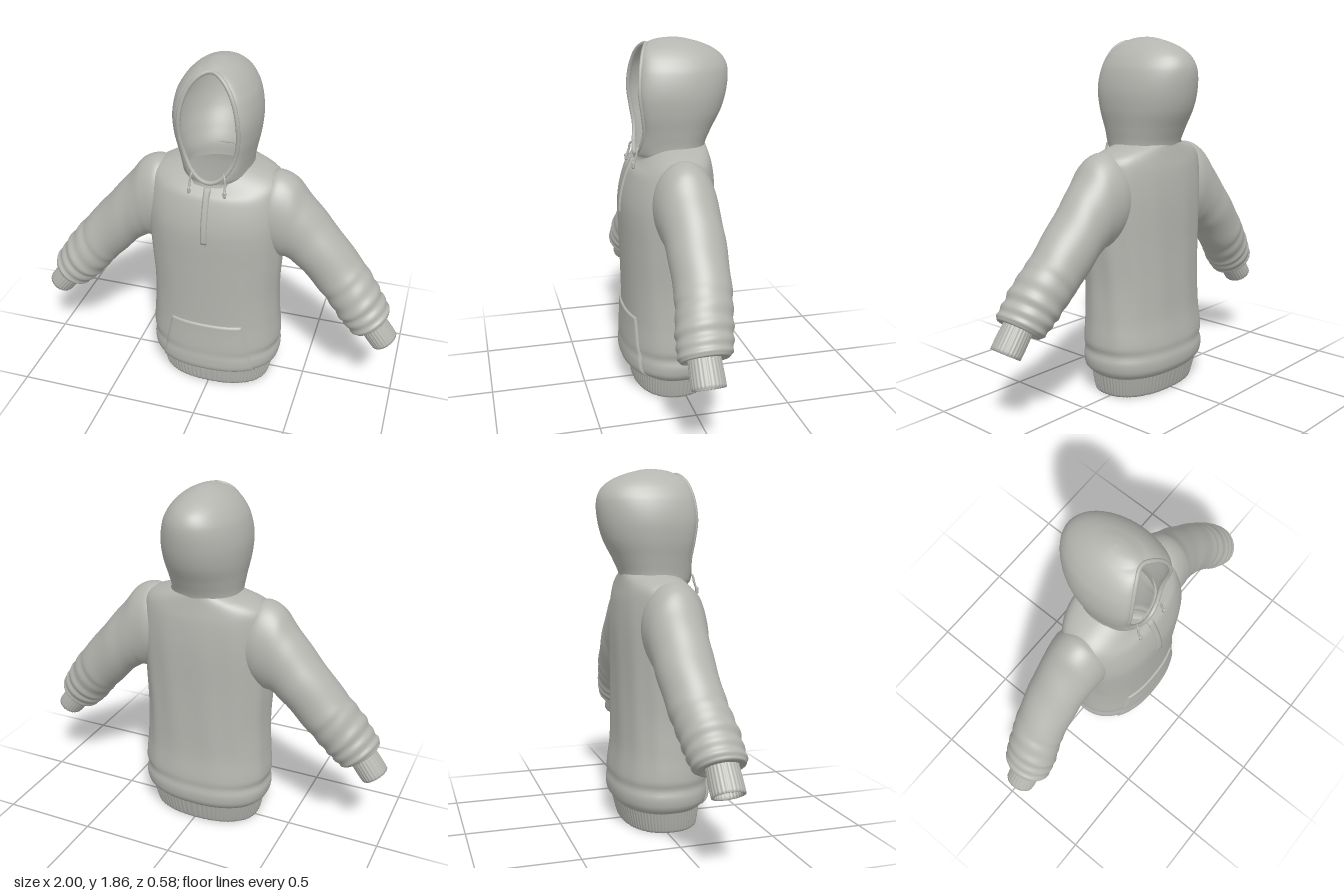
import * as THREE from 'three';

const fabric = new THREE.MeshStandardMaterial({ color: 0xb5b5b0, side: THREE.DoubleSide });
fabric.name = 'grey fabric';

// Smooth interpolation of rows [key, ...values] at key k
function at(rows, k) {
  const last = rows.length - 1;
  k = THREE.MathUtils.clamp(k, rows[0][0], rows[last][0]);
  let i = 0;
  while (i < last - 1 && k > rows[i + 1][0]) i++;
  const a = rows[i], b = rows[i + 1], h = b[0] - a[0], t = (k - a[0]) / h;
  const slope = (n, c) => {
    const p = rows[Math.max(n - 1, 0)], q = rows[Math.min(n + 1, last)];
    return (q[c] - p[c]) / (q[0] - p[0]);
  };
  return a.slice(1).map((v, j) => {
    const c = j + 1, t2 = t * t, t3 = t2 * t;
    return v * (2 * t3 - 3 * t2 + 1) + b[c] * (3 * t2 - 2 * t3)
      + h * slope(i, c) * (t3 - 2 * t2 + t) + h * slope(i + 1, c) * (t3 - t2);
  });
}

// Surface through a grid of points; closed joins the last column to the first
function loft(name, nu, nv, point, closed = true) {
  const pos = [], idx = [], cols = closed ? nu : nu + 1;
  for (let i = 0; i <= nv; i++)
    for (let j = 0; j < cols; j++) pos.push(...point(j / nu, i / nv));
  for (let i = 0; i < nv; i++)
    for (let j = 0; j < nu; j++) {
      const k = (j + 1) % cols;
      const a = i * cols + j, b = i * cols + k, c = b + cols, d = a + cols;
      idx.push(a, b, c, a, c, d);
    }
  const g = new THREE.BufferGeometry();
  g.setAttribute('position', new THREE.Float32BufferAttribute(pos, 3));
  g.setIndex(idx);
  g.computeVertexNormals();
  const m = new THREE.Mesh(g, fabric);
  m.name = name;
  return m;
}

function tube(name, pts, r, closed = false) {
  const curve = new THREE.CatmullRomCurve3(pts.map(p => new THREE.Vector3(...p)), closed);
  const m = new THREE.Mesh(new THREE.TubeGeometry(curve, pts.length * 4, r, 8, closed), fabric);
  m.name = name;
  return m;
}

// Torso: height, half width, front z, back z
const torso = [
  [0.11, 0.325, 0.24, -0.195], [0.14, 0.352, 0.278, -0.22], [0.2, 0.362, 0.284, -0.228],
  [0.24, 0.352, 0.28, -0.22], [0.28, 0.362, 0.28, -0.222], [0.42, 0.352, 0.273, -0.205],
  [0.6, 0.345, 0.275, -0.2], [0.8, 0.355, 0.28, -0.198], [1.0, 0.365, 0.283, -0.2],
  [1.1, 0.365, 0.268, -0.197], [1.2, 0.355, 0.236, -0.188], [1.26, 0.335, 0.207, -0.176],
  [1.3, 0.27, 0.188, -0.168], [1.325, 0.185, 0.175, -0.163],
];
const POW = 2.3;
const bend = v => Math.sign(v) * Math.abs(v) ** (2 / POW);
function torsoFront(x, y) {
  const [hw, f, b] = at(torso, y);
  return (f + b) / 2 + (f - b) / 2 * Math.max(0, 1 - Math.abs(x / hw) ** POW) ** (1 / POW);
}
function torsoPoint(u, v) {
  const y = 0.11 + 1.215 * v, q = u * Math.PI * 2;
  const [hw, f, b] = at(torso, y);
  // soft vertical folds, strongest on the sides and back
  const fold = 1 + 0.008 * Math.sin(q * 13 + y * 3) * Math.sin(Math.PI * v) * (1 - Math.max(0, Math.cos(q)));
  const dip = 0.055 * THREE.MathUtils.smoothstep(y, 1.18, 1.325) * Math.max(0, Math.cos(q)) ** 2;
  return [hw * bend(Math.sin(q)) * fold, y - dip, (f + b) / 2 + (f - b) / 2 * bend(Math.cos(q)) * fold];
}

// Hem: ribbed outside, turned back inside
const hem = [[0, 0.328, 0.242, -0.2], [1, 0.3, 0.227, -0.168], [1.1, 0.288, 0.215, -0.156], [2, 0.315, 0.23, -0.187]];
function hemPoint(u, v) {
  const k = 2 * v, q = u * Math.PI * 2, y = k <= 1 ? 0.125 * (1 - k) : 0.125 * Math.max(0, k - 1.1) / 0.9;
  const [hw, f, b] = at(hem, k);
  const rib = 1 + 0.007 * Math.cos(q * 80);
  return [hw * bend(Math.sin(q)) * rib, y, (f + b) / 2 + (f - b) / 2 * bend(Math.cos(q)) * rib];
}

// Sleeve sections: step, top x, top y, bottom x, bottom y, centre z, half depth
const sleeve = [
  [0, 0.26, 1.28, 0.25, 0.87, 0.02, 0.15], [1, 0.33, 1.297, 0.29, 0.84, 0.02, 0.16],
  [2, 0.41, 1.262, 0.34, 0.815, 0.018, 0.156], [3, 0.48, 1.175, 0.385, 0.81, 0.014, 0.15],
  [4, 0.6, 1.035, 0.455, 0.76, 0.012, 0.145], [5, 0.74, 0.868, 0.565, 0.645, 0.02, 0.14],
  [6, 0.8, 0.797, 0.62, 0.585, 0.03, 0.138], [7, 0.86, 0.72, 0.675, 0.52, 0.045, 0.14],
  [8, 0.9, 0.655, 0.71, 0.485, 0.052, 0.136], [9, 0.934, 0.605, 0.75, 0.447, 0.06, 0.132],
  [10, 0.945, 0.57, 0.778, 0.437, 0.066, 0.115], [11, 0.915, 0.547, 0.795, 0.466, 0.07, 0.08],
];
const cuff = [
  [0, 0.912, 0.555, 0.79, 0.473, 0.07, 0.077], [1, 0.997, 0.437, 0.88, 0.358, 0.07, 0.08],
  [1.1, 0.988, 0.432, 0.888, 0.365, 0.07, 0.068], [2, 0.91, 0.54, 0.803, 0.468, 0.07, 0.066],
];
function armPoint(rows, s, u, k, swell) {
  const [tx, ty, bx, by, zc, zr] = at(rows, k), q = u * Math.PI * 2;
  const w = swell(q, k), up = -Math.sin(q) * s * w;
  return [s * ((tx + bx) / 2 + (tx - bx) / 2 * up), (ty + by) / 2 + (ty - by) / 2 * up, zc + zr * Math.cos(q) * w];
}
const creases = (q, k) => 1 + 0.028 * Math.sin(k * 6.3 + Math.sin(q) * 0.9)
  * THREE.MathUtils.smoothstep(k, 4.5, 7.5) * (1 - THREE.MathUtils.smoothstep(k, 9.3, 10))
  + 0.012 * Math.sin(k * 5 + q * 2) * THREE.MathUtils.smoothstep(k, 2.5, 4) * (1 - THREE.MathUtils.smoothstep(k, 5, 7));
const cuffRibs = q => 1 + 0.016 * Math.cos(q * 26);

// Hood: height, half width, front z, back z
const hood = [
  [1.25, 0.185, 0.205, -0.16], [1.32, 0.182, 0.188, -0.165], [1.4, 0.195, 0.176, -0.2],
  [1.5, 0.214, 0.188, -0.252], [1.6, 0.219, 0.2, -0.28], [1.7, 0.2, 0.193, -0.286],
  [1.76, 0.168, 0.18, -0.262], [1.8, 0.133, 0.166, -0.215], [1.83, 0.094, 0.143, -0.15],
  [1.85, 0.052, 0.1, -0.08], [1.858, 0.028, 0.055, -0.04], [1.862, 0, 0, 0],
];
const openY = 1.553, openW = 0.15, openH = 0.28;
function hoodPoint(u, v) {
  const y = 1.25 + 0.612 * Math.sin(v * Math.PI / 2), q = u * Math.PI * 2;
  const [hw, f, b] = at(hood, y), s = Math.sin(q), c = Math.cos(q);
  const ox = Math.min(hw, openW * Math.sqrt(Math.max(0, 1 - ((y - openY) / openH) ** 2)));
  if (c <= 0) return [hw * s, y, -b * c];
  return [(u < 0.5 ? 1 : -1) * (ox + (hw - ox) * Math.abs(s)), y, f * c];
}

// Raised patch following the chest, with its edges folded down onto it
function patch(name, y0, y1, w0, w1, lift, nu, nv) {
  return loft(name, nu + 2, nv + 2, (u, v) => {
    const i = Math.round(u * (nu + 2)), j = Math.round(v * (nv + 2));
    const edge = i === 0 || j === 0 || i === nu + 2 || j === nv + 2;
    const a = THREE.MathUtils.clamp((i - 1) / nu, 0, 1), t = THREE.MathUtils.clamp((j - 1) / nv, 0, 1);
    const y = y0 + (y1 - y0) * t, x = (w0 + (w1 - w0) * t) * (2 * a - 1);
    return [x, y, torsoFront(x, y) + (edge ? -0.008 : lift)];
  }, false);
}

export function createModel() {
  const g = new THREE.Group();
  g.name = 'hooded sweatshirt';
  g.add(loft('torso', 112, 80, torsoPoint));
  g.add(loft('ribbedHem', 480, 20, hemPoint));
  g.add(loft('hood', 96, 110, hoodPoint, false));

  // Hem around the face opening
  const rim = [];
  for (let i = 0; i < 48; i++) {
    const q = i / 48 * Math.PI * 2, y = openY + openH * Math.cos(q);
    rim.push([openW * Math.sin(q), y, at(hood, y)[1]]);
  }
  g.add(tube('hoodOpeningRim', rim, 0.011, true));

  // Front pocket and neck placket
  g.add(patch('frontPocket', 0.125, 0.44, 0.262, 0.195, 0.01, 32, 24));
  g.add(patch('neckPlacket', 0.965, 1.25, 0.016, 0.016, 0.009, 4, 20));

  for (const s of [1, -1]) {
    const side = s > 0 ? 'left' : 'right';
    g.add(loft(side + 'Sleeve', 56, 110, (u, v) => armPoint(sleeve, s, u, v * 11, creases)));
    g.add(loft(side + 'Cuff', 156, 20, (u, v) => armPoint(cuff, s, u, v * 2, cuffRibs)));
    // Drawstring with a knotted tip
    g.add(tube(side + 'Drawstring', [[s * 0.075, 1.325, 0.185], [s * 0.086, 1.312, 0.205],
      [s * 0.091, 1.28, 0.212], [s * 0.093, 1.225, 0.231]], 0.006));
    const tip = new THREE.Mesh(new THREE.CapsuleGeometry(0.009, 0.02, 4, 10), fabric);
    tip.name = side + 'DrawstringTip';
    tip.position.set(s * 0.093, 1.235, 0.228);
    g.add(tip);
  }
  return g;
}
